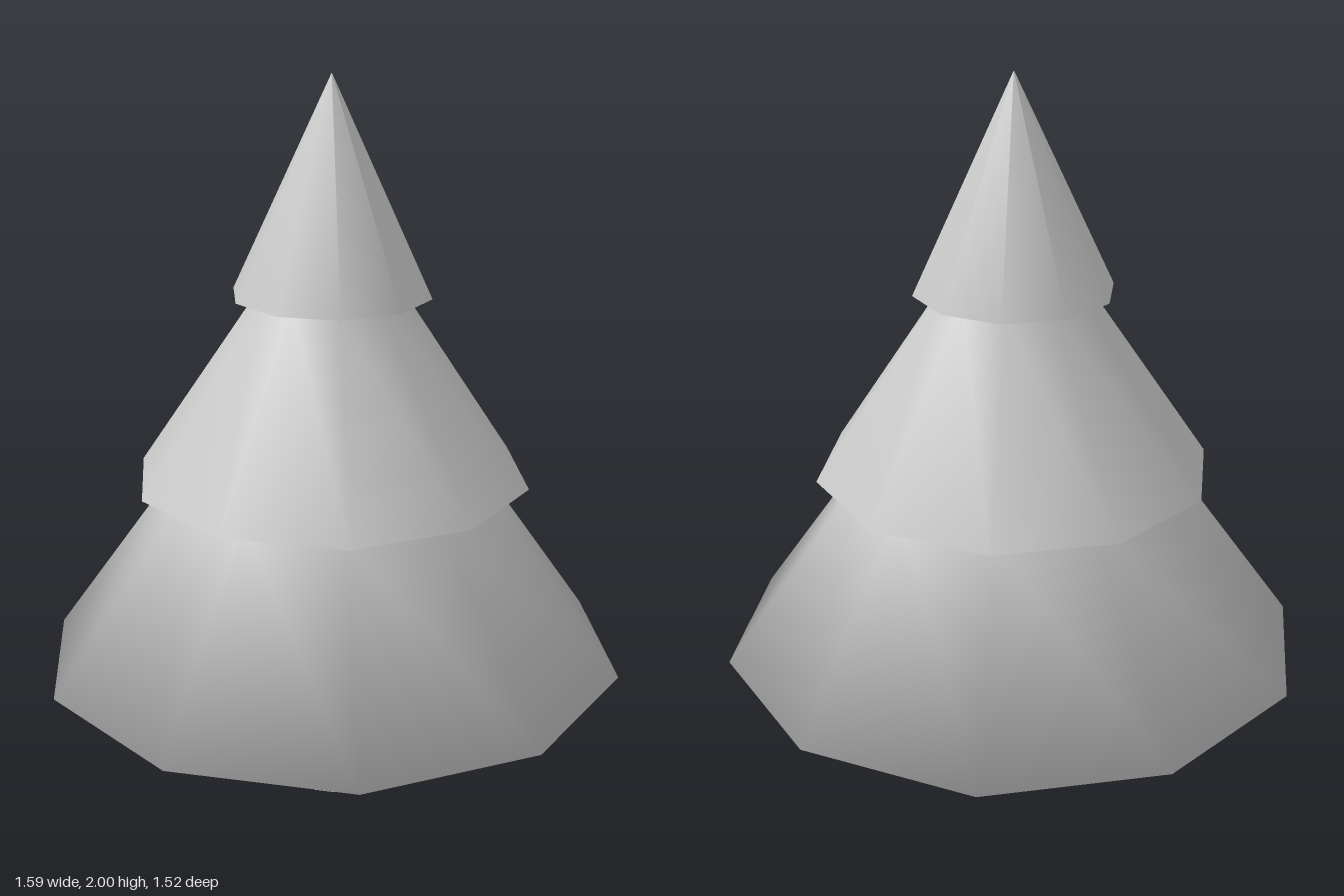
import * as THREE from 'three';
import { mergeVertices } from 'three/addons/utils/BufferGeometryUtils.js';

const SIDES = 10;

export function createModel() {
  const model = new THREE.Group();
  model.name = 'pineTree';

  // Foliage: three stacked tiers as one closed, smooth ten-sided profile
  const profile = [
    [0, 0.39], [0.797, 0.408],      // underside and rim of the bottom tier
    [0.435, 0.915], [0.535, 0.93],  // notch and rim of the middle tier
    [0.197, 1.432], [0.267, 1.432], // notch and rim of the top tier
    [0.001, 2],                     // tip, kept as a tiny ring so its facets fan out
  ].map(([r, y]) => new THREE.Vector2(r, y));
  const lathe = new THREE.LatheGeometry(profile, SIDES, Math.PI / 2);
  lathe.deleteAttribute('normal');
  lathe.deleteAttribute('uv');
  const foliageGeometry = mergeVertices(lathe);
  foliageGeometry.computeVertexNormals();
  const foliage = new THREE.Mesh(
    foliageGeometry,
    new THREE.MeshStandardMaterial({ color: 0xcccccc })
  );
  foliage.name = 'foliage';
  model.add(foliage);

  // Trunk: faceted post reaching just into the foliage
  const trunkHeight = 0.41;
  const trunk = new THREE.Mesh(
    new THREE.CylinderGeometry(0.093, 0.093, trunkHeight, SIDES, 1, false, Math.PI / 2),
    new THREE.MeshStandardMaterial({ color: 0xcccccc, flatShading: true })
  );
  trunk.position.y = trunkHeight / 2;
  trunk.name = 'trunk';
  model.add(trunk);

  return model;
}
